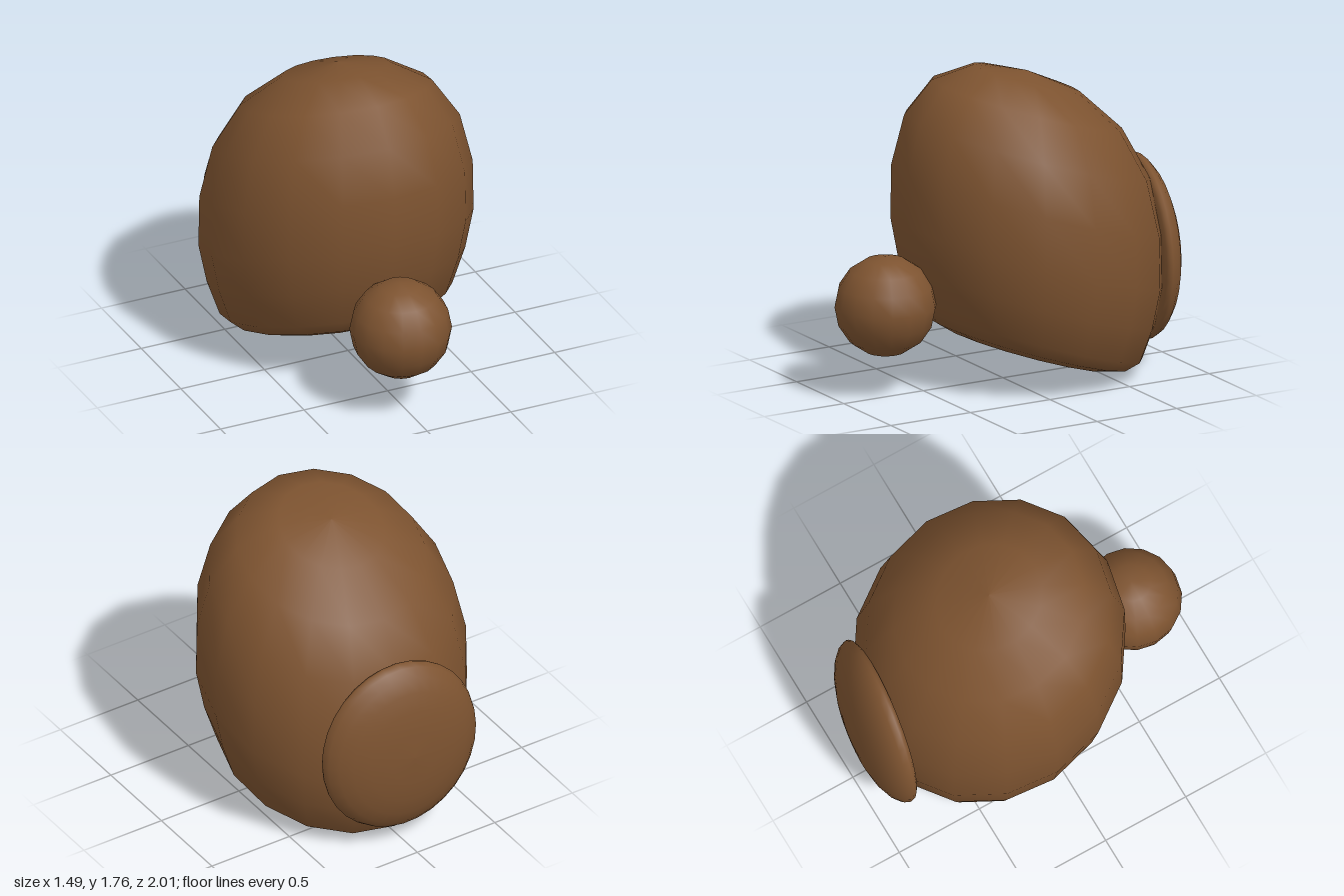
import * as THREE from 'three';

const brown = new THREE.MeshStandardMaterial({ color: 0x7d5330 });

// Closed round solid from [radius, height] pairs, listed bottom to top
function turned(profile, sides) {
  return new THREE.LatheGeometry(profile.map(([r, y]) => new THREE.Vector2(r, y)), sides);
}

function addPart(group, name, geometry, x, y, z) {
  const mesh = new THREE.Mesh(geometry, brown);
  mesh.name = name;
  mesh.position.set(x, y, z);
  group.add(mesh);
}

export function createModel() {
  const group = new THREE.Group();
  group.name = 'model';

  // Body: egg with a flattened base, sheared so its front rides higher
  const body = turned([
    [0, 0.145], [0.24, 0.145], [0.445, 0.147], [0.55, 0.18], [0.63, 0.25], [0.70, 0.46],
    [0.745, 0.69], [0.74, 0.99], [0.67, 1.285], [0.52, 1.52], [0.29, 1.666], [0, 1.71],
  ], 16);
  body.applyMatrix4(new THREE.Matrix4().set(
    1, 0, 0, 0,
    0, 1, 0.325, 0,
    0, 0, 1, 0,
    0, 0, 0, 1));
  addPart(group, 'body', body, 0, 0, -0.15);

  // Small ball at the front
  addPart(group, 'frontBall', new THREE.SphereGeometry(0.278, 16, 8), -0.027, 0.507, 0.722);

  // Back pad: shallow oval dome facing backwards, turned a little to one side
  const pad = turned([
    [0, 0], [0.5, 0], [0.88, 0], [0.95, 0.006], [0.99, 0.018], [1, 0.035], [0.97, 0.07],
    [0.88, 0.11], [0.74, 0.145], [0.55, 0.173], [0.3, 0.192], [0, 0.198],
  ], 32);
  pad.rotateX(-Math.PI / 2);
  pad.scale(0.462, 0.523, 1);
  pad.applyMatrix4(new THREE.Matrix4().set(
    1, 0, 0, 0,
    0, 1, 0, 0,
    0.094, 0.02, 1, 0,
    0, 0, 0, 1));
  addPart(group, 'backPad', pad, 0.012, 0.633, -0.8);

  return group;
}
